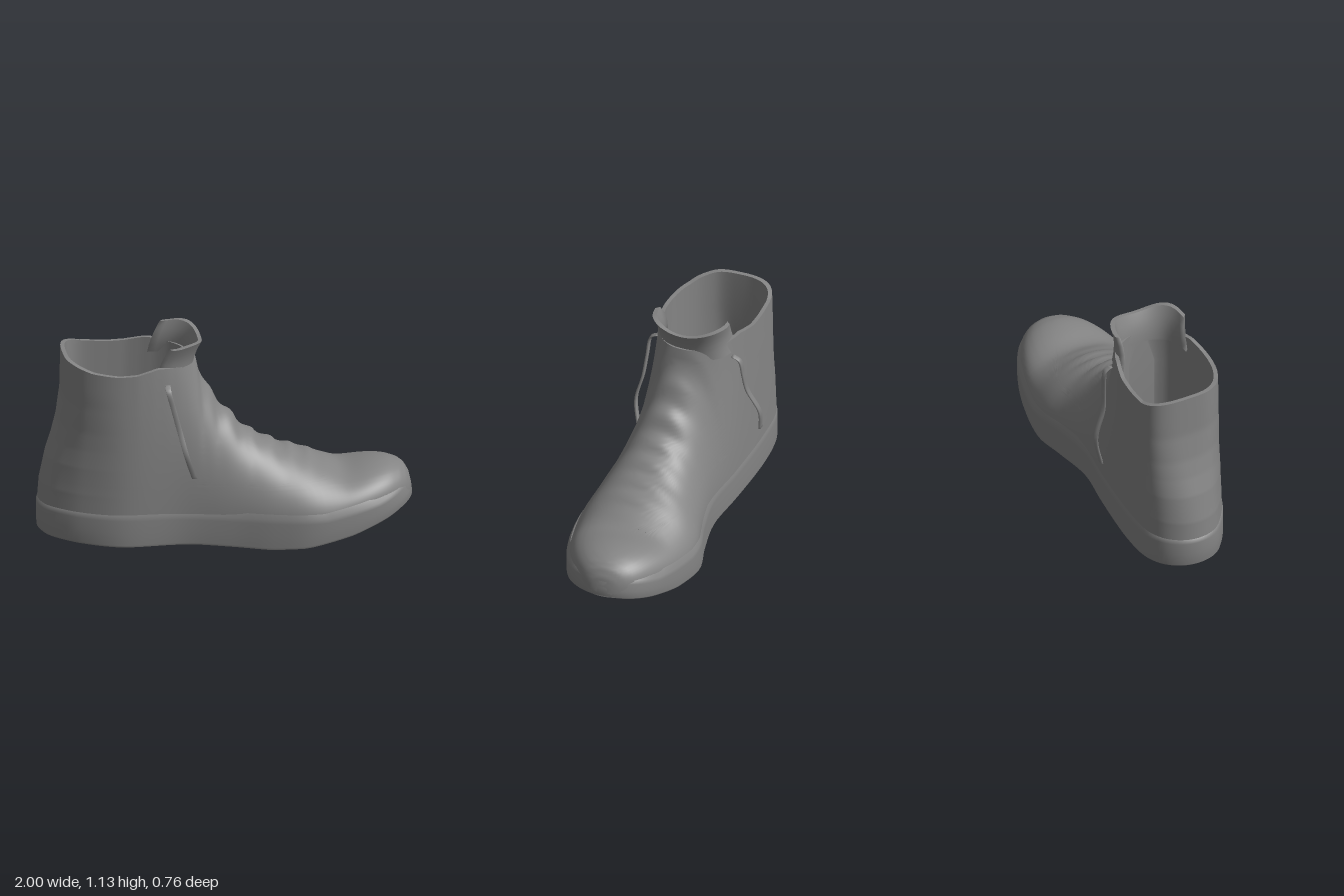
import * as THREE from 'three';

const M = 144; // points around each ring
const BASE = 0.17;
const clamp = THREE.MathUtils.clamp;
const smooth = THREE.MathUtils.smoothstep;
const gauss = (d, w) => Math.exp(-(d * d) / (w * w));

// Straight-line lookup in a list of [key, value] pairs with rising keys
function lookup(table, k) {
  if (k <= table[0][0]) return table[0][1];
  for (let i = 1; i < table.length; i++) {
    const [k0, v0] = table[i - 1], [k1, v1] = table[i];
    if (k <= k1) return v0 + ((v1 - v0) * (k - k0)) / (k1 - k0);
  }
  return table[table.length - 1][1];
}

// Footprint: x, inner edge z, outer edge z (smoothed over an angle so the ends are round)
const FOOT = [
  [-1, -0.09, -0.09], [-0.97, 0.02, -0.2], [-0.9, 0.09, -0.275], [-0.8, 0.155, -0.315],
  [-0.6, 0.225, -0.32], [-0.24, 0.24, -0.285], [0, 0.29, -0.25], [0.22, 0.35, -0.275],
  [0.4, 0.38, -0.314], [0.62, 0.355, -0.285], [0.83, 0.28, -0.21], [0.94, 0.19, -0.13],
  [0.985, 0.115, -0.055], [1, 0.03, 0.03],
];
const footAngles = FOOT.map((p) => Math.acos(-p[0]));
const edges = [1, 2].map((c) => new THREE.CubicInterpolant(footAngles, FOOT.map((p) => p[c]), 1));
function footprint(x) {
  const a = Math.acos(clamp(-x, -1, 1));
  const l = edges[0].evaluate(a)[0], r = edges[1].evaluate(a)[0];
  return { c: (l + r) / 2, w: Math.max(0, (l - r) / 2) };
}

// Centre profile from toe to collar front, and the heel line
const PROFILE = [
  [1, 0.17], [0.993, 0.23], [0.982, 0.28], [0.958, 0.32], [0.925, 0.34], [0.87, 0.35], [0.8, 0.354],
  [0.7, 0.36], [0.6, 0.37], [0.5, 0.397], [0.4, 0.44], [0.3, 0.475], [0.2, 0.53],
  [0.12, 0.575], [0.06, 0.635], [0, 0.705], [-0.06, 0.77], [-0.1, 0.85], [-0.14, 0.93],
  [-0.155, 1],
];
const HEIGHT = [[-0.5, 3.5], [-0.45, 2.8], [-0.38, 2.1], [-0.3, 1.6], [-0.24, 1.32], [-0.19, 1.12],
  ...PROFILE.slice().reverse()];
const HEEL = [[0.17, -1], [0.3, -0.99], [0.45, -0.957], [0.55, -0.923], [0.65, -0.896], [0.8, -0.873], [1, -0.868]];
const COLLAR = [[-0.87, 0.035], [-0.82, 0.02], [-0.74, 0], [-0.6, -0.01], [-0.5, -0.005], [-0.38, 0.02], [-0.16, 0]];

// Positions along a ring: down the inner side to the front, back along the outer side
function ringOf(fn) {
  return Array.from({ length: M }, (_, i) => {
    const a = (2 * Math.PI * i) / M;
    return fn((1 - Math.cos(a)) / 2, i <= M / 2 ? 1 : -1);
  });
}

// Skin over closed rings; repeating a ring makes a sharp edge
function loft(name, rings, material) {
  const n = rings[0].length, index = [];
  for (let j = 0; j < rings.length - 1; j++) {
    for (let i = 0; i < n; i++) {
      const a = j * n + i, b = j * n + ((i + 1) % n);
      index.push(a, b, b + n, a, b + n, a + n);
    }
  }
  const geometry = new THREE.BufferGeometry().setFromPoints(rings.flat());
  geometry.setIndex(index);
  geometry.computeVertexNormals();
  const mesh = new THREE.Mesh(geometry, material);
  mesh.name = name;
  return mesh;
}

// One level of the boot; shapeY sets the outline, y the height
function bootRing(y, shapeY, front, inset, flat = 1) {
  const heel = lookup(HEEL, y);
  const fullness = 1 - 0.28 * smooth(y, 0.25, 0.9); // the heel gets squarer towards the collar
  return ringOf((s, side) => {
    const x = heel + (front - heel) * s;
    const back = clamp((x - heel) / (-0.3 - heel), 0, 1);
    const { c, w } = footprint(x < -0.3 ? -1 + 0.7 * Math.pow(back, fullness) : x);
    const t = clamp((shapeY - BASE) / Math.max(lookup(HEIGHT, x) - BASE, 1e-4), 0, 1);
    // the toe box is squarer than the instep
    const arch = s === 1 ? 0 : Math.sqrt(1 - Math.pow(t, 1.7 + 1.6 * smooth(x, 0.5, 0.85)));
    const tuck = 1 - inset / 0.27 - 0.03 * smooth(x, -0.1, 0.3);
    return new THREE.Vector3(
      x - inset * (2 * s - 1),
      y + lookup(COLLAR, x) * smooth(y, 0.8, 1),
      c + side * w * arch * tuck * flat,
    );
  });
}

// Toe bulge and lace creases along the top of the foot
function crease(p) {
  const h = lookup(HEIGHT, p.x);
  const near = Math.pow(clamp((p.y - BASE) / Math.max(h - BASE, 0.02), 0, 1), 3);
  p.y += near * (0.015 * gauss(p.x - 0.83, 0.1) - 0.022 * gauss(p.x - 0.62, 0.08));
  const zone = smooth(p.x, -0.18, -0.08) * (1 - smooth(p.x, 0.42, 0.55)) * gauss(p.z, 0.15);
  const wave = 0.009 * zone * near * Math.sin((p.x * 2 * Math.PI) / 0.105 + p.z * 4);
  p.x += wave * 0.6;
  p.y += wave;
  return p;
}

function makeUpper(material) {
  const rings = [];
  // outside, from the welt to the collar
  for (let j = 0; j < PROFILE.length - 1; j++) {
    for (let k = 0; k < 4; k++) {
      const f = k / 4;
      const x = PROFILE[j][0] * (1 - f) + PROFILE[j + 1][0] * f;
      const y = PROFILE[j][1] * (1 - f) + PROFILE[j + 1][1] * f;
      rings.push(bootRing(y, y, x, 0.005).map(crease));
    }
  }
  const rim = () => bootRing(1, 1, -0.155, 0.005);
  const lip = () => bootRing(1, 1, -0.155, 0.027);
  rings.push(rim(), rim(), lip(), lip());
  // lining and insole
  for (const y of [0.8, 0.6, 0.4, 0.22]) rings.push(bootRing(y, 1, -0.17, 0.027));
  rings.push(bootRing(0.22, 1, -0.17, 0.027), bootRing(0.22, 1, -0.17, 0.027, 0));
  return loft('upper', rings, material);
}

function makeSole(material) {
  const bottom = [[-1, 0.025], [-0.6, 0.012], [-0.2, 0.015], [0.2, 0], [0.4, 0.012], [0.65, 0.058], [0.85, 0.115], [1, 0.165]];
  const top = [[-1, 0.19], [0, 0.17], [0.5, 0.165], [0.8, 0.21], [1, 0.27]];
  const level = (v, rise, scale, flat = 1) => ringOf((s, side) => {
    const x = 2 * s - 1, { c, w } = footprint(x);
    const y = lookup(bottom, x) * (1 - v) + lookup(top, x) * v + rise;
    const lean = 0.2 * Math.max(0, y - 0.17) * smooth(x, 0.7, 1);
    return new THREE.Vector3(x * scale - lean, y, c + side * w * scale * flat);
  });
  return loft('sole', [
    level(0, 0, 0.985, 0), level(0, 0, 0.985), level(0, 0, 0.985),
    level(0, 0.012, 0.997), level(0.5, 0, 1), level(0.9, 0, 1), level(1, 0.008, 0.993), level(1, 0.035, 0.96),
  ], material);
}

// Flared tongue wrapping the front of the opening
function makeTongue(material) {
  const N = 20;
  const point = (u, v, inset) => {
    const half = 0.21 - 0.012 * Math.sin(Math.PI * v) - inset;
    const front = -0.176 + 0.048 * v * v - inset;
    return new THREE.Vector3(
      front - (0.19 - 0.015 * v) * Math.pow(Math.abs(u), 2.4),
      0.94 + v * (0.165 + 0.028 * smooth(Math.abs(u), 0, 0.65) - 0.012 * smooth(Math.abs(u), 0.7, 1)),
      -0.035 + 0.018 * v + half * Math.sin((u * Math.PI) / 2),
    );
  };
  const level = (v, thick) => {
    const ring = [];
    for (let i = 0; i <= N; i++) ring.push(point(1 - (2 * i) / N, v, 0));
    for (let i = N; i >= 0; i--) ring.push(point(1 - (2 * i) / N, v, thick));
    return ring;
  };
  const rings = [0, 0.25, 0.5, 0.75, 1, 1].map((v) => level(v, 0.02));
  // close the top edge along its middle line
  rings.push(level(1, 0.02).map((p, i, r) => p.clone().lerp(r[r.length - 1 - i], 0.5)));
  return loft('tongue', rings, material);
}

// Loose flat lace end hanging on one side, given from the bottom up
function makeLace(name, points, material) {
  const path = new THREE.CatmullRomCurve3(points.map((p) => new THREE.Vector3(...p)));
  const section = (p, k) => [[-1, 1], [1, 1], [1, -1], [-1, -1]]
    .map(([x, z]) => new THREE.Vector3(p.x + x * 0.014 * k, p.y, p.z + z * 0.006 * k));
  const spine = path.getPoints(32);
  const rings = spine.map((p) => section(p, 1));
  return loft(name, [section(spine[0], 0), ...rings, section(spine[32], 0)], material);
}

export function createModel() {
  const group = new THREE.Group();
  group.name = 'highTopShoe';
  const material = new THREE.MeshStandardMaterial({ color: 0x848484, side: THREE.DoubleSide });
  group.add(
    makeSole(material),
    makeUpper(material),
    makeTongue(material),
    makeLace('innerLace', [[-0.2, 0.4, 0.25], [-0.245, 0.54, 0.28], [-0.28, 0.68, 0.252], [-0.31, 0.8, 0.24],
      [-0.335, 0.9, 0.228], [-0.335, 0.925, 0.19]], material),
    makeLace('outerLace', [[-0.4, 0.4, -0.365], [-0.36, 0.54, -0.375], [-0.33, 0.69, -0.315], [-0.31, 0.8, -0.3],
      [-0.295, 0.9, -0.285], [-0.29, 0.925, -0.25]], material),
  );
  return group;
}
